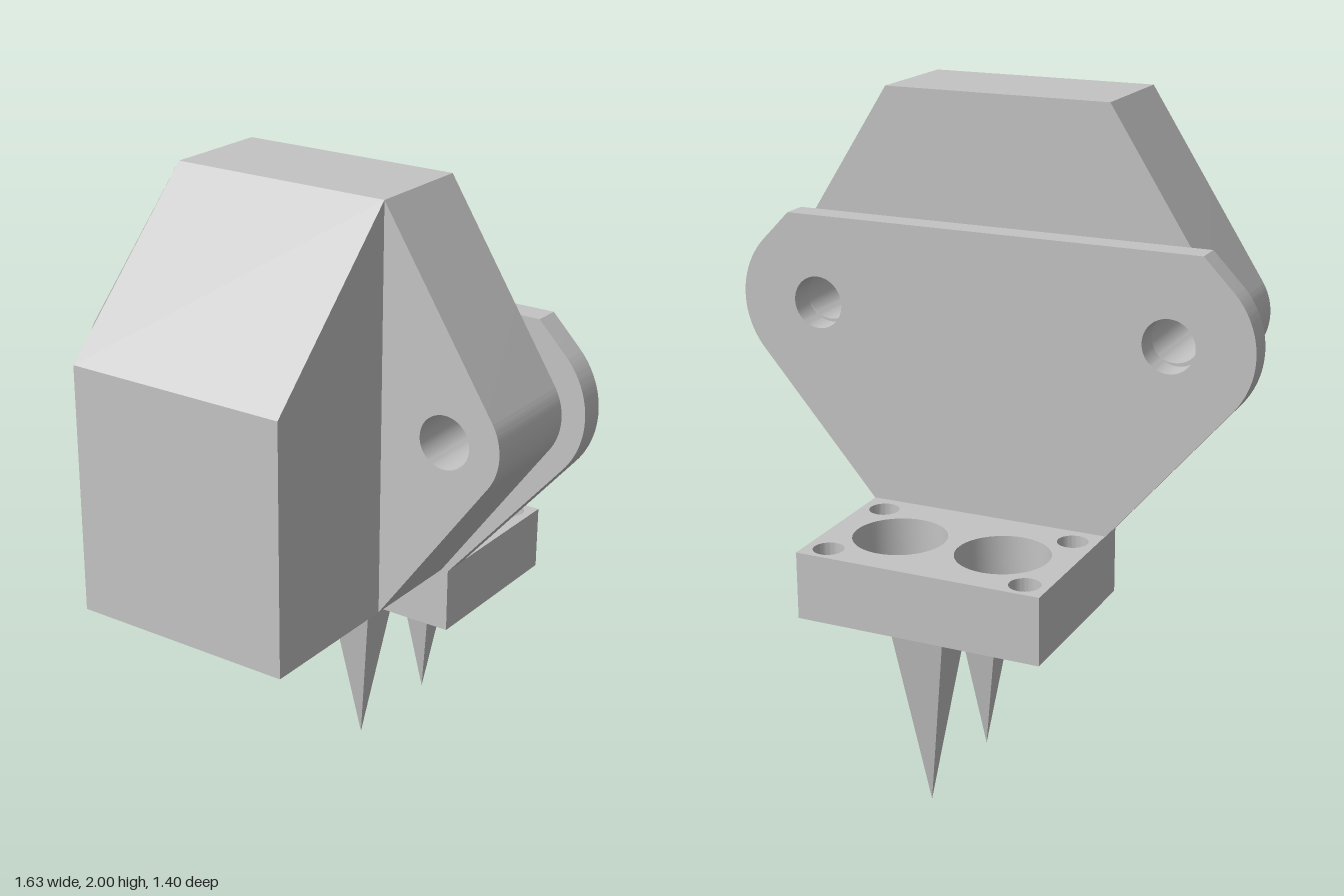
import * as THREE from 'three';
import { toCreasedNormals } from 'three/addons/utils/BufferGeometryUtils.js';

const HOLE = { x: 0.56, y: 1.352, r: 0.08 };

function circle(x, y, r) {
  return new THREE.Path().absarc(x, y, r, 0, Math.PI * 2, true);
}

function extrude(shape, depth) {
  const g = new THREE.ExtrudeGeometry(shape, { depth, bevelEnabled: false, curveSegments: 24 });
  return toCreasedNormals(g, 0.5);
}

// Symmetric plate whose straight edges run tangent to rounded ears around two bolt holes
function earedShape(bottomHalf, bottomY, topHalf, topY, earRadius) {
  const tangent = (px, py, side) => {
    const dx = px - HOLE.x, dy = py - HOLE.y;
    return Math.atan2(dy, dx) + side * Math.acos(earRadius / Math.hypot(dx, dy));
  };
  const low = tangent(bottomHalf, bottomY, 1);
  const high = tangent(topHalf, topY, -1);
  const s = new THREE.Shape();
  s.moveTo(-bottomHalf, bottomY);
  s.lineTo(bottomHalf, bottomY);
  s.absarc(HOLE.x, HOLE.y, earRadius, low, high, false);
  s.lineTo(topHalf, topY);
  s.lineTo(-topHalf, topY);
  s.absarc(-HOLE.x, HOLE.y, earRadius, Math.PI - high, Math.PI - low, false);
  s.closePath();
  for (const side of [-1, 1]) s.holes.push(circle(side * HOLE.x, HOLE.y, HOLE.r));
  return s;
}

export function createModel() {
  const model = new THREE.Group();
  model.name = 'bracketAssembly';
  const grey = new THREE.MeshStandardMaterial({ color: 0xc4c4c4 });
  grey.name = 'light grey';

  const add = (name, geometry, x = 0, y = 0, z = 0) => {
    const mesh = new THREE.Mesh(geometry, grey);
    mesh.name = name;
    mesh.position.set(x, y, z);
    model.add(mesh);
    return mesh;
  };

  // Front housing: box with a sloping upper front, profile drawn in z and y
  const profile = new THREE.Shape([
    [0.22, 0.765], [0.7, 0.765], [0.7, 1.525], [0.22, 2],
  ].map(([z, y]) => new THREE.Vector2(z, y)));
  add('housing', extrude(profile, 0.705).rotateY(-Math.PI / 2), 0.3725);

  // Thick flange behind the housing
  add('flange', extrude(earedShape(0.3525, 0.765, 0.3525, 2, 0.175), 0.34), 0.02, 0, -0.12);

  // Thin mounting plate behind the flange
  add('mountingPlate', extrude(earedShape(0.38, 0.75, 0.655, 1.62, 0.255), 0.08), 0, 0, -0.227);

  // Base block in two layers: narrow through holes below, wide and blind holes above
  const baseLayer = (boreRadius, withScrewHoles) => {
    const s = new THREE.Shape([
      [-0.38, 0.147], [0.38, 0.147], [0.38, 0.703], [-0.38, 0.703],
    ].map(([x, y]) => new THREE.Vector2(x, y)));
    for (const side of [-1, 1]) {
      s.holes.push(circle(side * 0.165, 0.473, boreRadius));
      if (withScrewHoles) {
        for (const z of [0.302, 0.64]) s.holes.push(circle(side * 0.309, z, 0.046));
      }
    }
    return s;
  };
  add('baseLower', extrude(baseLayer(0.098, false), 0.05).rotateX(-Math.PI / 2), 0, 0.547, 0);
  add('baseUpper', extrude(baseLayer(0.14, true), 0.155).rotateX(-Math.PI / 2), 0, 0.597, 0);

  // Two square spikes under the base
  for (const [name, z] of [['frontSpike', -0.242], ['rearSpike', -0.617]]) {
    const spike = new THREE.ConeGeometry(0.08 * Math.SQRT2, 0.547, 4, 1).toNonIndexed();
    spike.rotateY(Math.PI / 4).rotateX(Math.PI);
    spike.computeVertexNormals();
    add(name, spike, 0, 0.2735, z);
  }

  return model;
}
